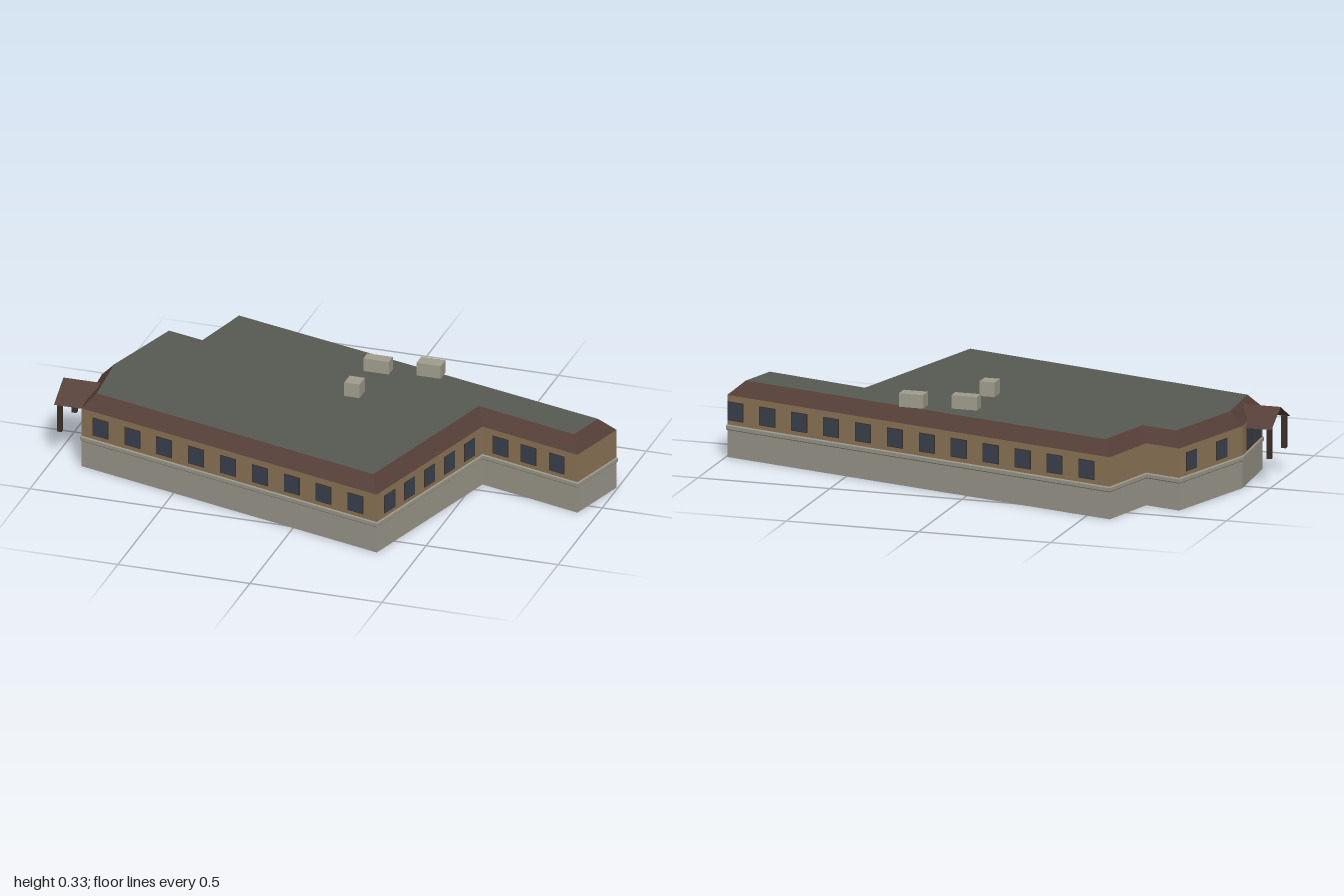
import * as THREE from 'three';

function mat(name, color, side = THREE.FrontSide) {
  const m = new THREE.MeshStandardMaterial({ color, side });
  m.name = name;
  return m;
}

// Building footprint as [x, z], clockwise seen from above
const A = [-0.595, -0.612], B = [0.995, -0.177], C = [0.928, 0.066], D = [0.53, -0.05], E = [0.35, 0.61];
const F = [-0.885, 0.262], H = [-0.905, -0.03], G = [-0.792, -0.412], N = [-0.655, -0.375];
const OUTLINE = [A, B, C, D, E, F, H, G, N];

// Mitred inward offset of the footprint (negative = outward)
function inset(d) {
  const n = OUTLINE.length;
  const inward = (p, q) => new THREE.Vector2(p[1] - q[1], q[0] - p[0]).normalize();
  return OUTLINE.map((p, i) => {
    const a = inward(OUTLINE[(i + n - 1) % n], p), b = inward(p, OUTLINE[(i + 1) % n]);
    const k = d / (1 + a.dot(b));
    return [p[0] + (a.x + b.x) * k, p[1] + (a.y + b.y) * k];
  });
}

function quads(list) {
  const pos = [];
  for (const [a, b, c, d] of list) pos.push(...a, ...b, ...c, ...a, ...c, ...d);
  const g = new THREE.BufferGeometry();
  g.setAttribute('position', new THREE.Float32BufferAttribute(pos, 3));
  g.computeVertexNormals();
  return g;
}

// Closed strip of faces through a list of [offset, height] rings
function skirt(rings) {
  const list = [];
  for (let r = 0; r + 1 < rings.length; r++) {
    const lo = inset(rings[r][0]), hi = inset(rings[r + 1][0]);
    const y0 = rings[r][1], y1 = rings[r + 1][1];
    lo.forEach((p, i) => {
      const j = (i + 1) % lo.length;
      list.push([[lo[j][0], y0, lo[j][1]], [p[0], y0, p[1]], [hi[i][0], y1, hi[i][1]], [hi[j][0], y1, hi[j][1]]]);
    });
  }
  return quads(list);
}

export function createModel() {
  const model = new THREE.Group();
  const stone = mat('stoneGrey', 0x9a978a, THREE.DoubleSide);
  const tan = mat('wallTan', 0x8c7456, THREE.DoubleSide);
  const brown = mat('roofBrown', 0x543d36, THREE.DoubleSide);
  const slate = mat('flatRoofGrey', 0x575953, THREE.DoubleSide);
  const glass = mat('windowGlass', 0x3a424f);
  const vent = mat('ventGrey', 0xa09d8e);
  const wood = mat('darkWood', 0x3c2f2a);

  function add(name, geometry, material, parent = model) {
    const m = new THREE.Mesh(geometry, material);
    m.name = name;
    parent.add(m);
    return m;
  }
  function box(name, size, at, material, parent) {
    const m = add(name, new THREE.BoxGeometry(...size), material, parent);
    m.position.set(...at);
    return m;
  }

  // Walls with a small ledge, sloped eaves and a flat roof
  add('stoneBase', skirt([[0, 0], [0, 0.1], [-0.004, 0.104], [-0.004, 0.117], [0, 0.121]]), stone);
  add('upperWall', skirt([[0, 0.121], [0, 0.23]]), tan);
  add('slopedRoof', skirt([[0, 0.23], [0.048, 0.28]]), brown);
  const top = new THREE.Shape(inset(0.048).map(([x, z]) => new THREE.Vector2(x, -z)));
  add('flatRoof', new THREE.ShapeGeometry(top).rotateX(-Math.PI / 2).translate(0, 0.28, 0), slate);

  // Plate set into the wall p-q at fraction t
  function pane(name, p, q, t, w, h, y, material = glass, depth = 0.008) {
    const m = box(name, [w, h, depth], [p[0] + (q[0] - p[0]) * t, y, p[1] + (q[1] - p[1]) * t], material);
    m.rotation.y = -Math.atan2(q[1] - p[1], q[0] - p[0]);
  }
  // Rows of windows: wall start, wall end, count, first fraction, step
  const rows = [
    ['back', A, B, 12, 0.06, 0.0835],
    ['front', F, E, 9, 0.065, 0.108],
    ['inner', E, D, 5, 0.12, 0.188],
    ['wing', D, C, 3, 0.19, 0.297],
    ['side', G, H, 2, 0.19, 0.48],
  ];
  for (const [name, p, q, count, first, step] of rows) {
    for (let i = 0; i < count; i++) {
      pane(name + 'WindowFrame', p, q, first + i * step, 0.068, 0.07, 0.172, wood, 0.005);
      pane(name + 'Window', p, q, first + i * step, 0.062, 0.064, 0.172);
    }
  }

  // Entrance glazing under the porch
  for (const [name, t, w] of [['entranceWindow', 0.31, 0.12], ['entranceDoor', 0.68, 0.06]]) {
    pane(name + 'Frame', F, H, t, w + 0.012, 0.092, 0.172, wood, 0.005);
    pane(name, F, H, t, w, 0.08, 0.172);
  }

  // Gabled porch roof on two posts
  const porch = new THREE.Group();
  porch.name = 'porch';
  model.add(porch);
  const ridge = [[-1, 0.272, 0.122], [-0.86, 0.272, 0.122]];
  add('porchRoof', quads([
    [[-1, 0.212, 0.23], [-0.885, 0.212, 0.23], ridge[1], ridge[0]],
    [[-0.885, 0.212, 0.014], [-1, 0.212, 0.014], ridge[0], ridge[1]],
  ]), brown, porch);
  for (const z of [0.038, 0.206]) {
    box('porchPost', [0.018, 0.118, 0.018], [-0.985, 0.159, z], wood, porch);
  }

  // Rooftop ventilation boxes
  for (const [x, z, w, d, h] of [[0.058, -0.278, 0.096, 0.045, 0.05],
    [0.248, -0.308, 0.092, 0.055, 0.05], [0.04, -0.065, 0.058, 0.06, 0.054]]) {
    box('roofVent', [w, h, d], [x, 0.28 + h / 2, z], vent);
  }
  return model;
}
